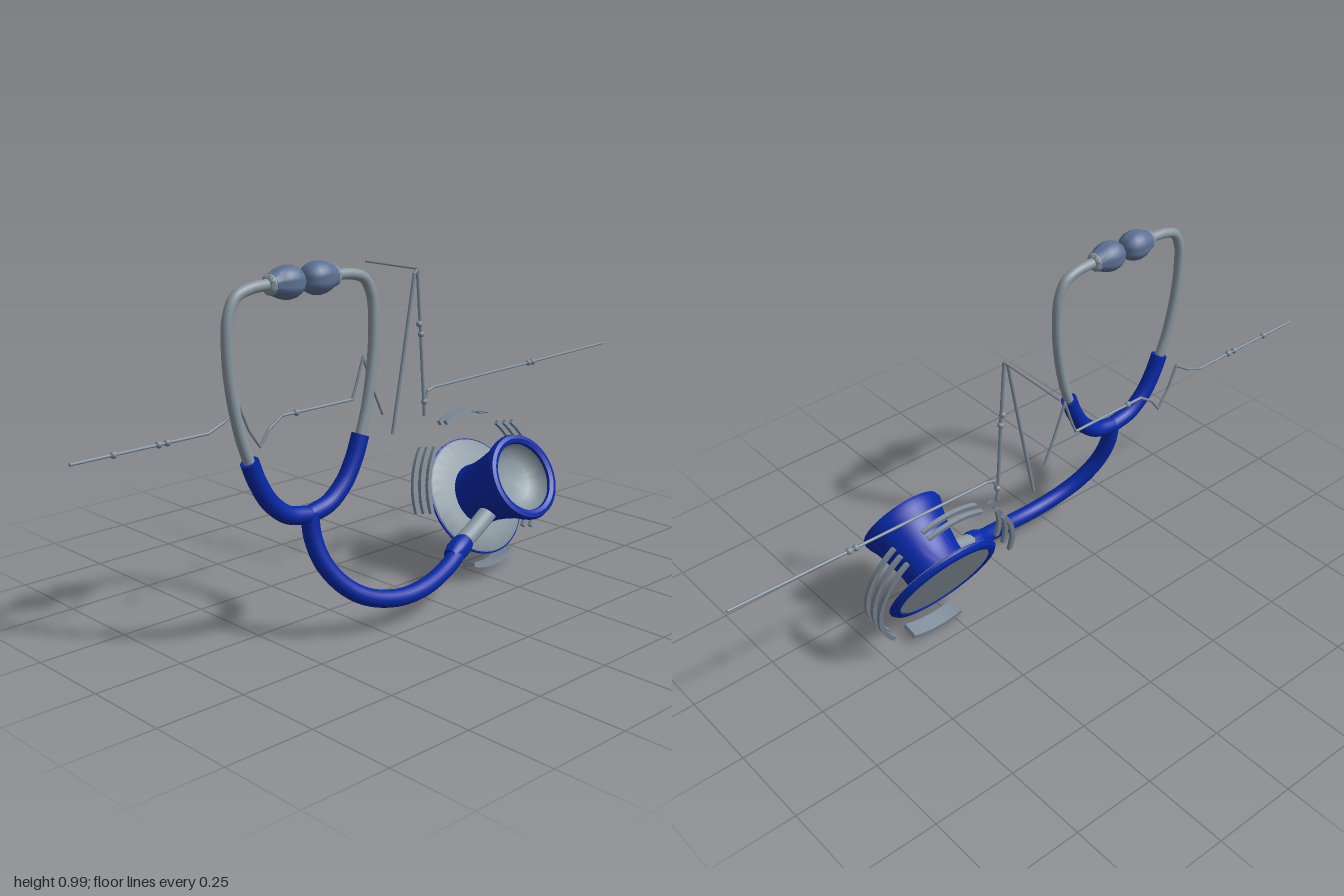
import * as THREE from 'three';
import { toCreasedNormals } from 'three/addons/utils/BufferGeometryUtils.js';

const mat = (name, color) => {
  const m = new THREE.MeshStandardMaterial({ color });
  m.name = name;
  return m;
};

export function createModel() {
  const blue = mat('blue rubber', 0x0528a6);
  const steel = mat('steel grey', 0x8997a0);
  const slate = mat('slate ear tip', 0x5d7194);
  const trace = mat('trace grey', 0x7e8c99);
  const model = new THREE.Group();
  const V = (x, y, z) => new THREE.Vector3(x, y, z);
  const Y = V(0, 1, 0);

  const add = (parent, name, geo, material) => {
    const mesh = new THREE.Mesh(geo, material);
    mesh.name = name;
    parent.add(mesh);
    return mesh;
  };

  // Smooth hose through [x, y, z] points with flat end caps
  const hose = (name, pts, r, material) => {
    const group = new THREE.Group();
    group.name = name;
    model.add(group);
    const curve = new THREE.CatmullRomCurve3(pts.map(p => V(...p)), false, 'centripetal');
    add(group, name + 'Tube', new THREE.TubeGeometry(curve, 80, r, 20), material);
    for (const t of [0, 1]) {
      const cap = add(group, name + 'Cap', new THREE.CircleGeometry(r, 20), material);
      cap.position.copy(curve.getPoint(t));
      cap.quaternion.setFromUnitVectors(V(0, 0, 1), curve.getTangent(t).multiplyScalar(t ? 1 : -1));
    }
  };

  // Thin straight rods along a polyline
  const rods = (parent, name, pts, r) => {
    for (let i = 1; i < pts.length; i++) {
      const a = V(...pts[i - 1]), b = V(...pts[i]);
      const d = b.clone().sub(a);
      const rod = add(parent, name, new THREE.CylinderGeometry(r, r, d.length() + r, 8), trace);
      rod.position.copy(a).add(b).multiplyScalar(0.5);
      rod.quaternion.setFromUnitVectors(Y, d.normalize());
    }
  };

  const lathe = (pts, segs = 56, crease = 0.6) =>
    toCreasedNormals(new THREE.LatheGeometry(pts.map(p => new THREE.Vector2(...p)), segs), crease);

  // Ear tubes, yoke branches and ear tips, mirrored about the yoke centre
  const mid = 0.423;
  for (const s of [1, -1]) {
    const side = s > 0 ? 'front' : 'rear';
    const at = (x, y, dz) => [x, y, mid + s * dz];
    hose(side + 'EarTube', [
      at(0.116, 0.50, 0.180), at(0.114, 0.58, 0.207), at(0.112, 0.70, 0.231), at(0.111, 0.80, 0.238),
      at(0.110, 0.875, 0.232), at(0.109, 0.92, 0.208), at(0.109, 0.936, 0.165), at(0.109, 0.94, 0.09),
    ], 0.0145, steel);
    hose(side + 'YokeBranch', [
      at(0.116, 0.515, 0.184), at(0.117, 0.46, 0.162), at(0.118, 0.40, 0.125),
      at(0.119, 0.355, 0.07), at(0.12, 0.338, 0),
    ], 0.024, blue);
    const tip = new THREE.Group();
    tip.name = side + 'EarTip';
    tip.position.set(0.109, 0.939, mid + s * 0.003);
    tip.quaternion.setFromUnitVectors(Y, V(0, 0, s));
    model.add(tip);
    add(tip, 'earTipBulb', lathe([
      [0, 0], [0.014, 0.001], [0.026, 0.006], [0.035, 0.016], [0.041, 0.030], [0.043, 0.046],
      [0.041, 0.062], [0.036, 0.077], [0.030, 0.089], [0.028, 0.096], [0, 0.096],
    ], 32, 0.9), slate);
    add(tip, 'earTipCollar', lathe([
      [0, 0.095], [0.027, 0.095], [0.026, 0.104], [0.021, 0.109], [0, 0.109],
    ], 32, 0.9), steel);
  }

  // Main hose sweeping from the yoke to the chest piece
  hose('mainHose', [
    [0.12, 0.345, 0.42], [0.128, 0.28, 0.418], [0.147, 0.21, 0.40], [0.172, 0.145, 0.355],
    [0.195, 0.100, 0.29], [0.210, 0.075, 0.19], [0.209, 0.078, 0.09], [0.188, 0.101, -0.02], [0.164, 0.132, -0.10],
  ], 0.024, blue);
  const collar = add(model, 'hoseCollar', lathe([
    [0, 0], [0.024, 0], [0.031, 0.03], [0.031, 0.055], [0.027, 0.075], [0, 0.075],
  ], 24), blue);
  collar.position.set(0.173, 0.117, -0.05);
  collar.quaternion.setFromUnitVectors(Y, V(-0.03, 0.05, -0.14).normalize());
  hose('metalStem', [[0.16, 0.137, -0.10], [0.145, 0.165, -0.18], [0.125, 0.20, -0.27]], 0.026, steel);

  // Chest piece, turned about a tilted axis
  const chest = new THREE.Group();
  chest.name = 'chestPiece';
  chest.position.set(0.025, 0.205, -0.31);
  chest.quaternion.setFromUnitVectors(Y, V(0.88, 0.475, 0).normalize());
  model.add(chest);
  add(chest, 'diaphragm', lathe([
    [0, -0.012], [0.152, -0.012], [0.165, -0.002], [0.172, 0.003], [0.168, 0.006],
    [0.12, 0.012], [0, 0.016],
  ]), steel);
  add(chest, 'diaphragmRim', lathe([
    [0.148, -0.012], [0.152, -0.016], [0.168, -0.013], [0.176, -0.005], [0.176, 0.001], [0.169, 0.004],
  ]), blue);
  add(chest, 'bellBody', lathe([
    [0.092, 0.008], [0.090, 0.03], [0.091, 0.06], [0.097, 0.10], [0.106, 0.14], [0.114, 0.168],
    [0.122, 0.185], [0.126, 0.200], [0.122, 0.212], [0.111, 0.215], [0.100, 0.210], [0.097, 0.196],
  ]), blue);
  add(chest, 'bellDish', lathe([[0.098, 0.202], [0.089, 0.177], [0.06, 0.163], [0, 0.157]], 56, 1), steel);

  // Broken rings of curved strips around the chest piece
  const rings = new THREE.Group();
  rings.name = 'soundRings';
  const n = V(0.973, 0.23, 0).normalize();
  rings.quaternion.setFromRotationMatrix(new THREE.Matrix4().makeBasis(V(0, 0, -1), V(-n.y, n.x, 0), n));
  rings.position.set(0.022, 0.23, -0.31);
  model.add(rings);
  const strip = (name, from, to, offset, width) => {
    const a = from * Math.PI / 180, b = to * Math.PI / 180;
    const shape = new THREE.Shape();
    shape.absarc(0, 0, 0.236, a, b, false);
    shape.absarc(0, 0, 0.223, b, a, true);
    const geo = new THREE.ExtrudeGeometry(shape, { depth: width, bevelEnabled: false, curveSegments: 20 });
    add(rings, name, toCreasedNormals(geo, 0.5), trace).position.z = offset - width / 2;
  };
  for (const offset of [-0.022, 0.008, 0.038]) {
    strip('rearStrip', -43, 47, offset, 0.011);
    strip('frontStrip', 139, 187, offset, 0.011);
  }
  for (const offset of [-0.012, 0.014]) strip('topStrip', 68, 114, offset, 0.012);
  strip('bottomStrip', 250, 294, 0, 0.048);

  // Heartbeat trace in the plane x = -0.055
  const pulse = new THREE.Group();
  pulse.name = 'heartbeatTrace';
  model.add(pulse);
  const X = -0.055;
  const flat = pts => pts.map(([z, y]) => [X, y, z]);
  rods(pulse, 'leadingTrace', flat([
    [0.998, 0.553], [0.6, 0.552], [0.55, 0.572], [0.5, 0.605], [0.47, 0.535], [0.435, 0.485],
    [0.405, 0.525], [0.36, 0.555], [0.11, 0.555], [0.095, 0.59], [0.068, 0.668], [0.03, 0.57], [-0.005, 0.495],
  ]), 0.004);
  rods(pulse, 'peakTrace', flat([
    [-0.045, 0.43], [-0.09, 0.66], [-0.13, 0.875], [-0.142, 0.888], [-0.155, 0.72], [-0.173, 0.46],
  ]), 0.005);
  rods(pulse, 'trailingTrace', flat([
    [-0.173, 0.5], [-0.185, 0.53], [-0.21, 0.537], [-0.6, 0.544], [-0.998, 0.553],
  ]), 0.004);
  rods(pulse, 'sideSpike', [[X, 0.888, -0.142], [-0.27, 0.886, -0.146]], 0.003);

  // Small beads along the trace
  for (const [z, y] of [[0.88, 0.553], [0.75, 0.553], [0.725, 0.553], [0.31, 0.555], [-0.15, 0.73],
    [-0.157, 0.70], [-0.63, 0.545], [-0.65, 0.545], [-0.172, 0.50]]) {
    add(pulse, 'traceBead', new THREE.SphereGeometry(0.0095, 12, 8), trace).position.set(X, y, z);
  }
  return model;
}
